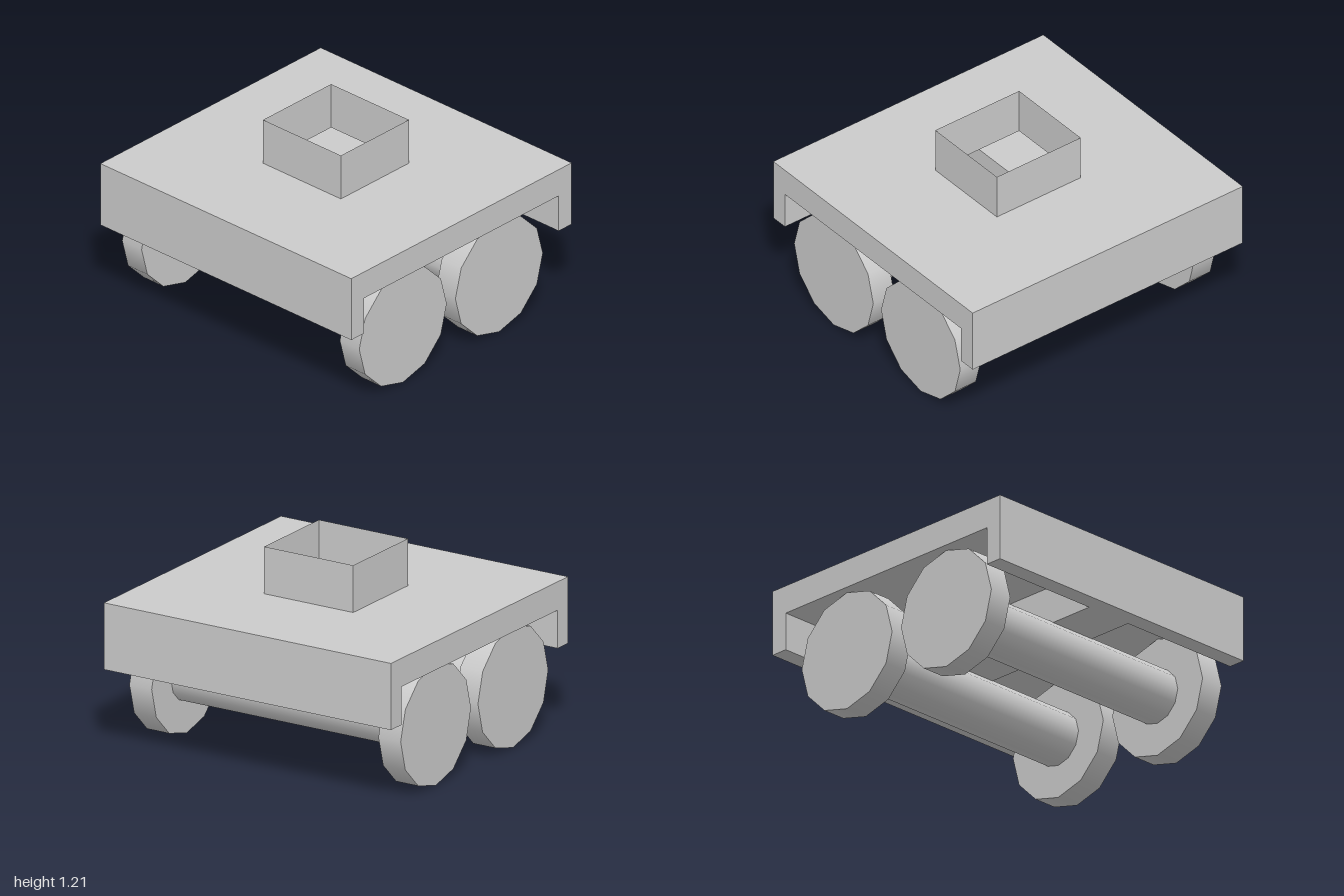
import * as THREE from 'three';

const skin = new THREE.MeshStandardMaterial({ color: 0xcccccc, side: THREE.DoubleSide });
const solid = new THREE.MeshStandardMaterial({ color: 0xcccccc });
const Q = Math.PI / 2;

// Body is a hollow thin shell
const X = 1, Z = 0.94, TOP = 0.92, BOTTOM = 0.51;   // outer shell
const CORE = 0.16, WELL_Z = 0.83, WELL_Y = 0.745;   // wheel wells and central core
const CX = 0.31, CZ = 0.29, CTOP = 1.21;            // turret collar

// Rotations that turn a panel towards a direction
const FACE = {
  front: [0, 0, 0], back: [0, 2 * Q, 0], left: [0, Q, 0], right: [0, -Q, 0],
  up: [-Q, 0, 0], down: [Q, 0, 0],
};

function add(parent, name, geometry, material, face, x, y, z) {
  const mesh = new THREE.Mesh(geometry, material);
  mesh.name = name;
  mesh.rotation.set(...FACE[face]);
  mesh.position.set(x, y, z);
  parent.add(mesh);
  return mesh;
}

function panel(parent, name, face, w, h, x, y, z) {
  return add(parent, name, new THREE.PlaneGeometry(w, h), skin, face, x, y, z);
}

function rectangle(Type, hx, hy) {
  return new Type([[-hx, -hy], [hx, -hy], [hx, hy], [-hx, hy]].map(p => new THREE.Vector2(...p)));
}

function makeBody() {
  const body = new THREE.Group();
  body.name = 'body';
  const height = TOP - BOTTOM, wellHeight = WELL_Y - BOTTOM;
  const midY = (TOP + BOTTOM) / 2, wellMidY = (WELL_Y + BOTTOM) / 2;

  // Deck, open under the collar
  const deck = rectangle(THREE.Shape, X, Z);
  deck.holes.push(rectangle(THREE.Path, CX, CZ));
  add(body, 'deck', new THREE.ShapeGeometry(deck), skin, 'up', 0, TOP, 0);

  // Side frame: an arch above the wheels
  const arch = new THREE.Shape([
    [-Z, BOTTOM], [-WELL_Z, BOTTOM], [-WELL_Z, WELL_Y], [WELL_Z, WELL_Y],
    [WELL_Z, BOTTOM], [Z, BOTTOM], [Z, TOP], [-Z, TOP],
  ].map(p => new THREE.Vector2(...p)));

  panel(body, 'coreUnderside', 'down', 2 * CORE, 2 * WELL_Z, 0, BOTTOM, 0);

  for (const s of [1, -1]) {
    const out = s > 0 ? 'left' : 'right';
    const outZ = s > 0 ? 'front' : 'back';
    const inZ = s > 0 ? 'back' : 'front';
    add(body, 'sideFrame', new THREE.ShapeGeometry(arch), skin, out, s * X, 0, 0);
    panel(body, 'endWall', outZ, 2 * X, height, 0, midY, s * Z);
    panel(body, 'endUnderside', 'down', 2 * X, Z - WELL_Z, 0, BOTTOM, s * (Z + WELL_Z) / 2);

    // Wheel well on this side
    const wellX = s * (X + CORE) / 2;
    panel(body, 'wellCeiling', 'down', X - CORE, 2 * WELL_Z, wellX, WELL_Y, 0);
    panel(body, 'coreWall', out, 2 * WELL_Z, wellHeight, s * CORE, wellMidY, 0);
    for (const t of [1, -1]) {
      panel(body, 'wellEndWall', t > 0 ? 'back' : 'front', X - CORE, wellHeight,
        wellX, wellMidY, t * WELL_Z);
    }

    // Open, thin-walled collar
    const collarY = (TOP + CTOP) / 2;
    panel(body, 'collarSide', out, 2 * CZ, CTOP - TOP, s * CX, collarY, 0);
    panel(body, 'collarEnd', outZ, 2 * CX, CTOP - TOP, 0, collarY, s * CZ);
  }
  return body;
}

// Two 12-sided wheels joined by an axle
function makeAxleSet(name, z) {
  const set = new THREE.Group();
  set.name = name;
  set.position.set(0, 0.373, z);
  const rod = (part, r, length, x) => {
    const geometry = new THREE.CylinderGeometry(r, r, length, 12).rotateZ(Q);
    add(set, part, geometry, solid, 'front', x, 0, 0);
  };
  rod('axle', 0.168, 1.58, 0);
  for (const s of [1, -1]) rod('wheel', 0.373, 0.155, s * 0.8675);
  return set;
}

export function createModel() {
  const model = new THREE.Group();
  model.name = 'wheeledCart';
  model.add(makeBody(), makeAxleSet('frontAxleSet', 0.44), makeAxleSet('rearAxleSet', -0.38));
  return model;
}
